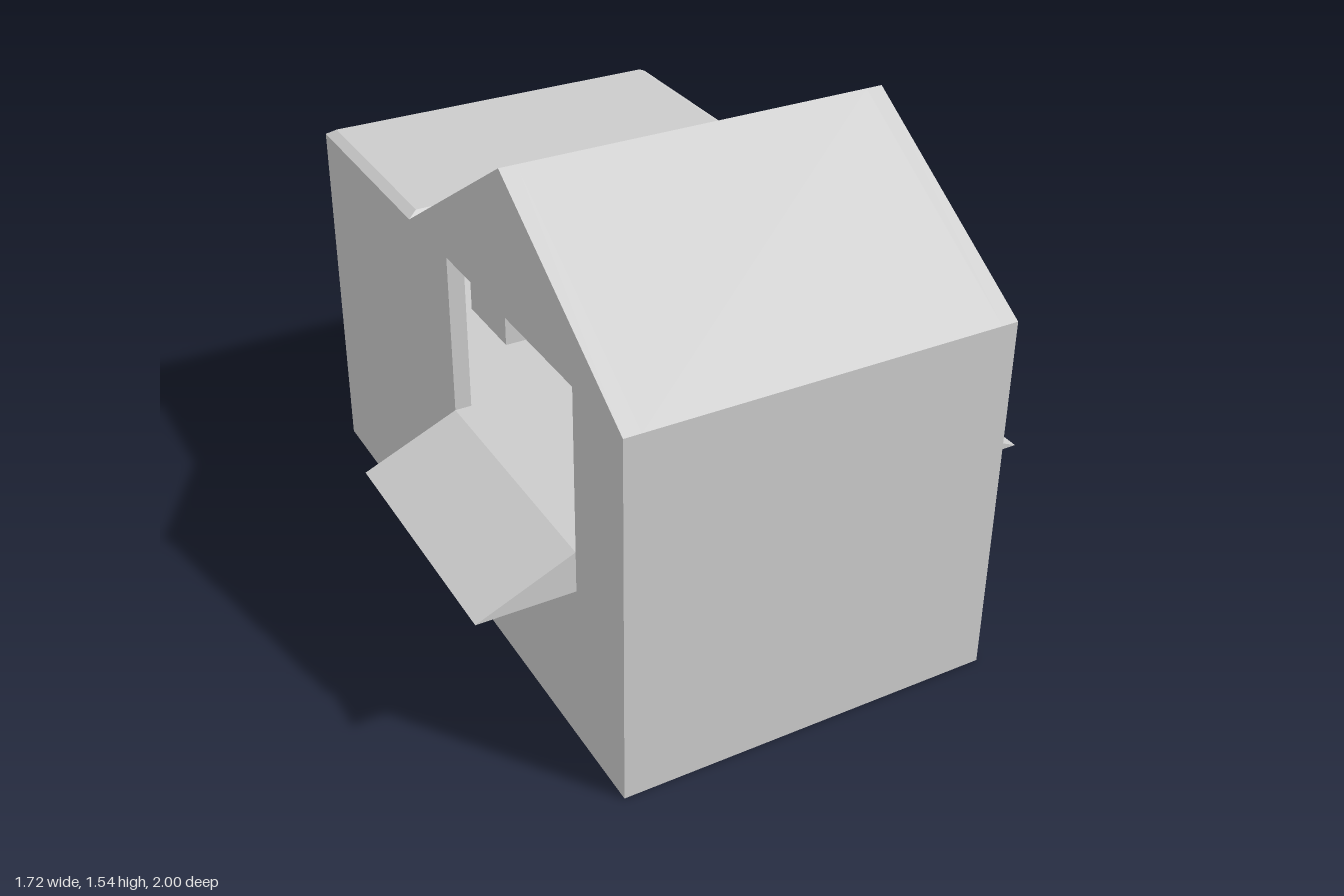
import * as THREE from 'three';

const W = 0.575, T = 0.05, FLOOR = 0.625, EAVE = 1.12, RIDGE = 1.54;
const RIDGE_Z = 0.35, VALLEY_Z = -0.3, WIN_F = 0.74, WIN_B = -0.03;

export function createModel() {
  const group = new THREE.Group();
  const mat = new THREE.MeshStandardMaterial({ color: 0xcccccc, flatShading: true, side: THREE.DoubleSide });

  const add = (name, geo, x = 0, y = 0, z = 0) => {
    const m = new THREE.Mesh(geo, mat);
    m.name = name;
    m.position.set(x, y, z);
    group.add(m);
    return m;
  };

  // Thin four-cornered panel, corners counter-clockwise from its front
  const quad = (name, a, b, c, d) => {
    const geo = new THREE.BufferGeometry();
    geo.setAttribute('position', new THREE.Float32BufferAttribute([a, b, c, a, c, d].flat(), 3));
    geo.computeVertexNormals();
    return add(name, geo);
  };

  const box = (name, w, h, d, x, y, z) => add(name, new THREE.BoxGeometry(w, h, d), x, y, z);

  // Profile of [z, y] points extruded along x from x0
  const extrudeX = (name, pts, x0, depth) => {
    const shape = new THREE.Shape(pts.map(([z, y]) => new THREE.Vector2(-z, y)));
    const geo = new THREE.ExtrudeGeometry(shape, { depth, bevelEnabled: false });
    geo.rotateY(Math.PI / 2);
    return add(name, geo, x0);
  };

  // Base walls, thin and open underneath
  const corners = [[W, 1], [W, -1], [-W, -1], [-W, 1]];
  corners.forEach(([x, z], i) => {
    const [x2, z2] = corners[(i + 1) % 4];
    quad('baseWall', [x, 0, z], [x2, 0, z2], [x2, FLOOR, z2], [x, FLOOR, z]);
  });

  // Room floor
  quad('floor', [-W, FLOOR, 1], [W, FLOOR, 1], [W, FLOOR, -1], [-W, FLOOR, -1]);

  // Gabled side walls with a serving window down to the floor
  const gable = [
    [1, FLOOR], [1, EAVE], [RIDGE_Z, RIDGE], [VALLEY_Z, EAVE], [-1, EAVE], [-1, FLOOR],
    [WIN_B, FLOOR], [WIN_B, EAVE], [WIN_F, EAVE], [WIN_F, FLOOR],
  ];
  extrudeX('leftWall', gable, W - T, T);
  extrudeX('rightWall', gable, -W, T);

  // Front and back walls of the room
  const inner = 2 * (W - T), wallH = EAVE - FLOOR - T;
  box('frontWall', inner, wallH, T, 0, FLOOR + wallH / 2, 1 - T / 2);
  box('backWall', inner, wallH, T, 0, FLOOR + wallH / 2, -1 + T / 2);

  // Pitched roof running into the flat rear roof
  extrudeX('roof', [
    [1, EAVE], [RIDGE_Z, RIDGE], [VALLEY_Z, EAVE], [-1, EAVE],
    [-1, EAVE - T], [VALLEY_Z - 0.01, EAVE - T], [RIDGE_Z, RIDGE - 0.06], [1, EAVE - T],
  ], -W + T, inner);

  // Raised flat roof cap with sloping edges
  const ring = (inset, y) => [[W, VALLEY_Z], [W, -1], [-W, -1], [-W, VALLEY_Z]].map(([x, z], i) =>
    [x - Math.sign(x) * inset * 1.5, y, z + (i === 0 || i === 3 ? -inset : inset)]);
  const low = ring(0, EAVE), high = ring(0.02, EAVE + 0.016);
  for (let i = 0; i < 4; i++) {
    const j = (i + 1) % 4;
    quad('flatRoofEdge', low[i], low[j], high[j], high[i]);
  }
  quad('flatRoof', ...high);

  // Counter ends run right through the house; sloping shelves stick out each side
  const reach = 0.86, lip = 0.5;
  const end = new THREE.Shape([[-reach, lip], [reach, lip], [W, FLOOR], [-W, FLOOR]]
    .map(([x, y]) => new THREE.Vector2(x, y)));
  for (const z of [WIN_F, WIN_B]) {
    const geo = new THREE.ShapeGeometry(end);
    if (z === WIN_B) geo.rotateY(Math.PI);
    add('counterEnd', geo, 0, 0, z);
  }
  quad('leftShelf', [W, FLOOR, WIN_F], [reach, lip, WIN_F], [reach, lip, WIN_B], [W, FLOOR, WIN_B]);
  quad('rightShelf', [-W, FLOOR, WIN_B], [-reach, lip, WIN_B], [-reach, lip, WIN_F], [-W, FLOOR, WIN_F]);

  // Cabinet behind the windows
  box('cabinet', 0.58, 0.21, 0.26, 0, FLOOR + 0.105, -0.43);
  box('cabinetTop', 0.66, 0.035, 0.32, 0, FLOOR + 0.2275, -0.43);

  return group;
}
